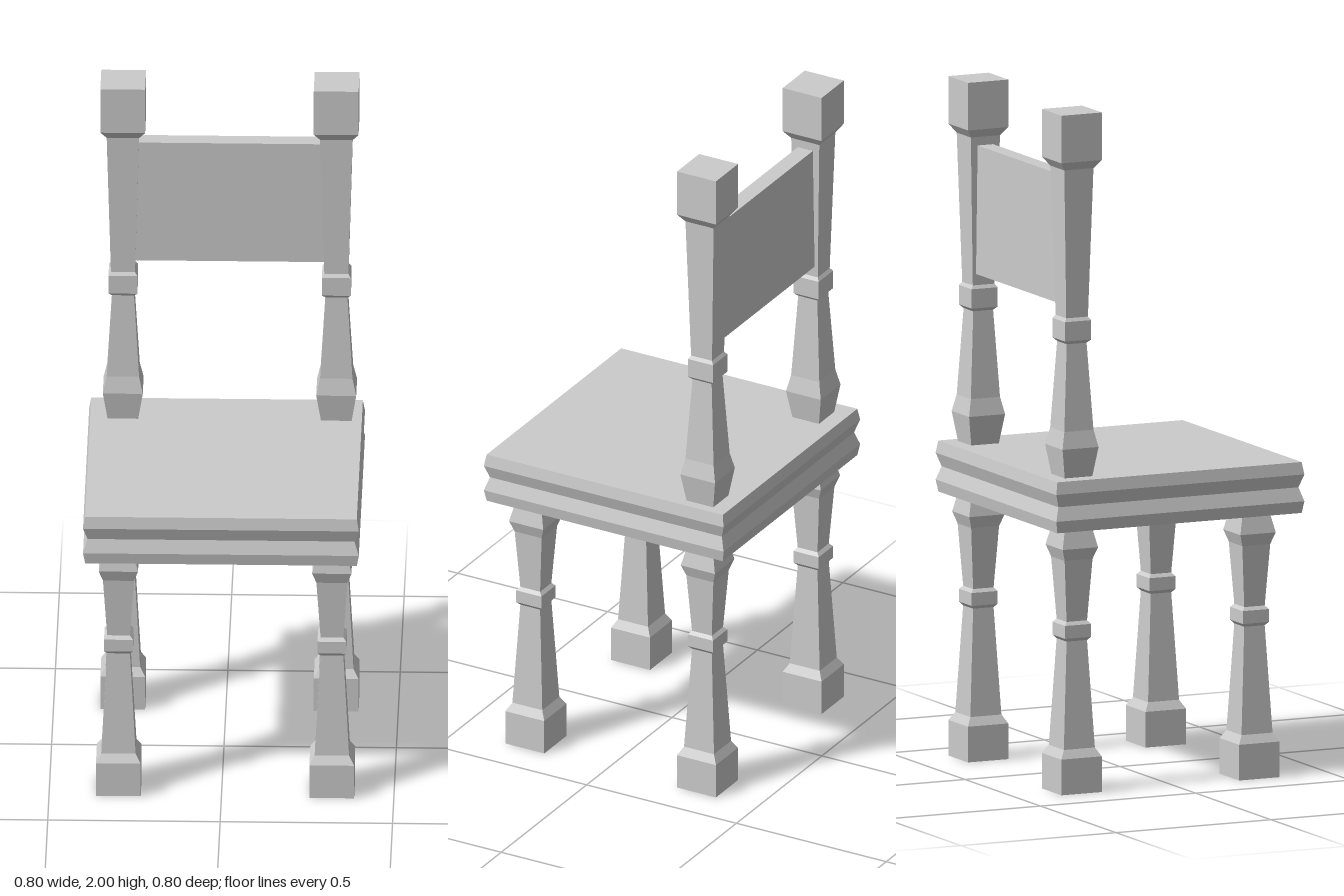
import * as THREE from 'three';

const material = new THREE.MeshStandardMaterial({ color: 0xcccccc, flatShading: true });

// Square turned part: profile rows are [half width, height], closed at both ends
function squareTurned(name, profile) {
  const rows = [[0, profile[0][1]], ...profile, [0, profile[profile.length - 1][1]]];
  const points = rows.map(([w, y]) => new THREE.Vector2(w * Math.SQRT2, y));
  const geometry = new THREE.LatheGeometry(points, 4).rotateY(Math.PI / 4);
  const mesh = new THREE.Mesh(geometry, material);
  mesh.name = name;
  return mesh;
}

// Block foot, tapered shaft, collar, flared capital
const LEG = [
  [0.065, 0], [0.065, 0.105], [0.05, 0.13], [0.033, 0.445],
  [0.042, 0.455], [0.042, 0.493], [0.033, 0.503],
  [0.045, 0.685], [0.057, 0.72], [0.042, 0.785],
];

// Flared base, tapered shaft, collar, widening shaft, block finial
const POST = [
  [0.044, 0.925], [0.058, 1.015], [0.047, 1.065], [0.032, 1.32],
  [0.042, 1.33], [0.042, 1.387], [0.035, 1.397],
  [0.047, 1.835], [0.065, 1.86], [0.065, 2],
];

// Seat slab with two pointed mouldings around the edge
const SEAT = [
  [0.394, 0.778], [0.4, 0.813], [0.387, 0.853], [0.4, 0.892], [0.394, 0.928],
];

export function createModel() {
  const chair = new THREE.Group();
  chair.name = 'chair';

  chair.add(squareTurned('seat', SEAT));

  const backZ = -0.301, frontZ = 0.272;
  for (const [side, x] of [['Right', -0.299], ['Left', 0.32]]) {
    for (const [end, z] of [['front', frontZ], ['back', backZ]]) {
      const leg = squareTurned(`${end}${side}Leg`, LEG);
      leg.position.set(x, 0, z);
      chair.add(leg);
    }
    const post = squareTurned(`back${side}Post`, POST);
    post.position.set(x, 0, backZ);
    chair.add(post);
  }

  // Back panel set into the two posts
  const panel = new THREE.Mesh(new THREE.BoxGeometry(0.58, 0.38, 0.05), material);
  panel.name = 'backPanel';
  panel.position.set(0.01, 1.62, backZ);
  chair.add(panel);

  return chair;
}
